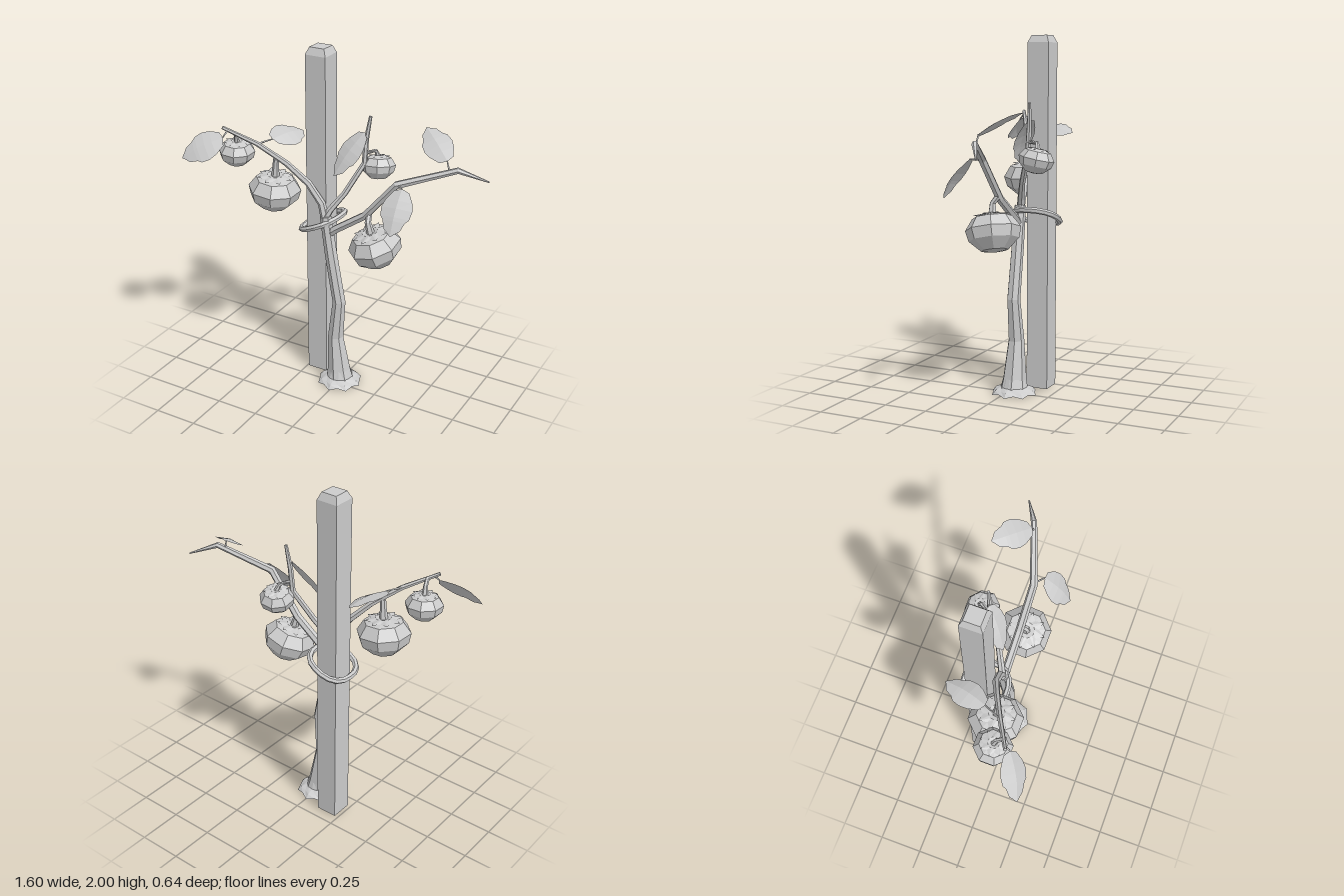
import * as THREE from 'three';

const V = (a) => new THREE.Vector3(...a);
const grey = new THREE.MeshStandardMaterial({ color: 0xcccccc, flatShading: true });
const thin = new THREE.MeshStandardMaterial({ color: 0xcccccc, flatShading: true, side: THREE.DoubleSide });

function add(parent, name, geometry, material = grey) {
  const mesh = new THREE.Mesh(geometry, material);
  mesh.name = name;
  parent.add(mesh);
  return mesh;
}

function facets(points, index) {
  const g = new THREE.BufferGeometry();
  g.setAttribute('position', new THREE.Float32BufferAttribute(points.flatMap((p) => p.toArray()), 3));
  g.setIndex(index);
  const flat = g.toNonIndexed();
  flat.computeVertexNormals();
  return flat;
}

// Tapered limb through [x, y, z, radius] stations, capped at both ends
function limb(stations, sides = 6) {
  const c = stations.map((s) => V(s.slice(0, 3)));
  const n = c.length, pts = [], idx = [];
  const ref = new THREE.Vector3(0, 0, 1);
  c.forEach((p, i) => {
    const t = c[Math.min(i + 1, n - 1)].clone().sub(c[Math.max(i - 1, 0)]).normalize();
    const u = ref.clone().addScaledVector(t, -ref.dot(t)).normalize();
    const v = t.clone().cross(u);
    for (let k = 0; k < sides; k++) {
      const a = (k / sides) * Math.PI * 2, r = stations[i][3];
      pts.push(p.clone().addScaledVector(u, r * Math.cos(a)).addScaledVector(v, r * Math.sin(a)));
    }
  });
  for (let i = 0; i < n - 1; i++) for (let k = 0; k < sides; k++) {
    const a = i * sides + k, b = i * sides + (k + 1) % sides;
    idx.push(a, b, b + sides, a, b + sides, a + sides);
  }
  const last = (n - 1) * sides;
  for (let k = 1; k < sides - 1; k++) idx.push(0, k + 1, k, last, last + k, last + k + 1);
  return facets(pts, idx);
}

// Jagged leaf from base to tip, folded along its midrib
function leaf(base, tip, normal, width) {
  const b = V(base), dir = V(tip).sub(b);
  const side = dir.clone().cross(V(normal)).normalize();
  const up = side.clone().cross(dir).normalize();
  // [position along rib, half width]
  const profile = [[0, 0.05], [0.05, 0.5], [0.25, 0.86], [0.42, 1], [0.6, 0.93], [0.68, 0.72], [0.86, 0.52], [0.92, 0.28], [1, 0.02]];
  const pts = [], idx = [];
  profile.forEach(([t, w]) => {
    for (const s of [-1, 0, 1]) {
      const arch = 0.1 * width * Math.sin(Math.PI * t) - (s ? 0.09 * width * w : 0);
      pts.push(b.clone().addScaledVector(dir, t).addScaledVector(side, s * w * width / 2).addScaledVector(up, arch));
    }
  });
  for (let i = 0; i < profile.length - 1; i++) for (const k of [0, 1]) {
    const a = i * 3 + k;
    idx.push(a, a + 1, a + 4, a, a + 4, a + 3);
  }
  return facets(pts, idx);
}

// Zigzag calyx hugging the shoulder of a unit fruit
function calyx() {
  const pts = [new THREE.Vector3(0, 0.62, 0)], idx = [], n = 16;
  for (let k = 0; k < n; k++) {
    const a = (k / n) * Math.PI * 2, out = k % 2 === 0;
    const inner = 0.3, r = out ? 0.72 : 0.48;
    pts.push(new THREE.Vector3(Math.cos(a) * inner, 0.7, Math.sin(a) * inner));
    pts.push(new THREE.Vector3(Math.cos(a) * r, out ? 0.64 : 0.63, Math.sin(a) * r));
  }
  for (let k = 0; k < n; k++) {
    const a = 1 + k * 2, b = 1 + ((k + 1) % n) * 2;
    idx.push(0, b, a, a, b, b + 1, a, b + 1, a + 1);
  }
  return facets(pts, idx);
}

// Squat eight-sided fruit with calyx and curved stem
function fruit(parent, center, radius, axis, hang) {
  const group = new THREE.Group();
  group.name = 'fruit';
  parent.add(group);
  const up = V(axis).normalize();
  const body = new THREE.Group();
  body.name = 'fruitBody';
  body.position.set(...center);
  body.quaternion.setFromUnitVectors(new THREE.Vector3(0, 1, 0), up);
  body.scale.setScalar(radius);
  group.add(body);
  const profile = [[0, -0.74], [0.5, -0.66], [0.93, -0.26], [1.03, 0.14], [0.74, 0.56], [0.28, 0.67], [0, 0.55]];
  add(body, 'flesh', new THREE.LatheGeometry(profile.map((p) => new THREE.Vector2(...p)), 8, Math.PI / 8));
  add(body, 'calyx', calyx(), thin);
  const start = V(center).addScaledVector(up, radius * 0.55);
  const mid = V(center).addScaledVector(up, radius * 1.0);
  const end = V(hang);
  mid.lerp(end, 0.25);
  add(group, 'fruitStem', limb([
    [...start.toArray(), radius * 0.17],
    [...mid.toArray(), radius * 0.12],
    [...end.toArray(), radius * 0.11],
  ]));
}

export function createModel() {
  const model = new THREE.Group();
  model.name = 'fruitTree';

  // Square support post with a chamfered top
  const post = new THREE.Group();
  post.name = 'post';
  post.position.set(-0.173, 0, -0.132);
  model.add(post);
  const s = 0.125 / Math.SQRT2;
  const profile = [[0, 0.01], [s, 0.01], [s, 1.96], [s * 0.72, 2], [0, 2]];
  add(post, 'postShaft', new THREE.LatheGeometry(profile.map((p) => new THREE.Vector2(...p)), 4, Math.PI / 4));

  // Crooked trunk and flared roots
  add(model, 'trunk', limb([
    [0, 0.02, -0.04, 0.08], [-0.007, 0.08, -0.04, 0.069], [-0.03, 0.3, -0.04, 0.046],
    [-0.005, 0.54, -0.035, 0.038], [-0.055, 0.82, -0.035, 0.036], [-0.092, 1.06, -0.035, 0.033],
  ], 7));
  const roots = new THREE.LatheGeometry([[0, 0.005], [0.125, 0.008], [0.105, 0.025], [0.075, 0.04], [0.06, 0.09]].map((p) => new THREE.Vector2(...p)), 16);
  const pos = roots.attributes.position;
  for (let i = 0; i < pos.count; i++) {
    const x = pos.getX(i), z = pos.getZ(i), r = Math.hypot(x, z);
    if (r < 0.1) continue;
    const k = 1 + 0.06 * Math.cos(8 * Math.atan2(z, x));
    pos.setXYZ(i, x * k, pos.getY(i) * (r > 0.12 ? (k > 1 ? 0.1 : 1.5) : 1), z * k);
  }
  add(model, 'rootFlare', roots).position.set(-0.003, 0, -0.04);

  // Branches
  const branches = {
    rightBranch: [[-0.09, 1.02, -0.035, 0.026], [-0.12, 1.13, -0.04, 0.022], [-0.2, 1.24, -0.03, 0.02], [-0.31, 1.355, 0.02, 0.017], [-0.45, 1.465, 0.09, 0.014], [-0.615, 1.56, 0.18, 0.01]],
    middleBranch: [[-0.1, 1.04, -0.035, 0.024], [-0.07, 1.1, -0.05, 0.02], [0, 1.2, -0.09, 0.017], [0.083, 1.37, -0.16, 0.016], [0.088, 1.51, -0.17, 0.014], [0.107, 1.64, -0.18, 0.009]],
    leftBranch: [[-0.08, 0.95, -0.035, 0.024], [-0.02, 1.0, -0.035, 0.024], [0.16, 1.125, -0.03, 0.023], [0.35, 1.35, -0.02, 0.022], [0.65, 1.455, -0.13, 0.017], [0.795, 1.39, -0.21, 0.004]],
  };
  for (const [name, stations] of Object.entries(branches)) add(model, name, limb(stations));

  // Tilted tie looping around trunk and post
  const loop = [];
  for (let i = 0; i < 14; i++) {
    const a = (i / 14) * Math.PI * 2, c = Math.cos(a), d = Math.sin(a);
    const x = -0.153 + 0.113 * Math.sign(c) * Math.abs(c) ** 0.8;
    loop.push(new THREE.Vector3(x, 0.992 + (x + 0.153) * 0.45, -0.112 + 0.125 * Math.sign(d) * Math.abs(d) ** 0.8));
  }
  add(model, 'tie', new THREE.TubeGeometry(new THREE.CatmullRomCurve3(loop, true), 18, 0.017, 6, true));

  // Fruit: centre, radius, axis, hanging point
  fruit(model, [0.23, 0.95, -0.025], 0.147, [-0.26, 1, 0.22], [0.185, 1.14, -0.03]);
  fruit(model, [-0.38, 1.18, 0.035], 0.145, [0.09, 1, 0.04], [-0.36, 1.38, 0.045]);
  fruit(model, [-0.58, 1.395, 0.1], 0.1, [0.05, 1, 0.05], [-0.56, 1.53, 0.15]);
  fruit(model, [0.133, 1.335, -0.23], 0.094, [-0.08, 1, -0.2], [0.088, 1.43, -0.167]);

  // Leaves: base, tip, normal, width, twig root
  const leaves = [
    [[-0.6, 1.51, 0.2], [-0.8, 1.39, 0.31], [0, 0.65, 0.75], 0.18, [-0.59, 1.545, 0.165]],
    [[-0.41, 1.47, -0.005], [-0.355, 1.455, -0.24], [0.4, 1, 0.05], 0.18, [-0.45, 1.465, 0.09]],
    [[0.075, 1.545, -0.165], [-0.045, 1.31, -0.045], [-0.25, 0.45, 0.85], 0.15, [0.092, 1.53, -0.17]],
    [[0.59, 1.5, -0.12], [0.395, 1.6, -0.275], [0, 0.86, 0.5], 0.16, [0.61, 1.44, -0.115]],
    [[0.405, 1.355, 0.025], [0.415, 1.145, 0.175], [0.05, 0.55, 0.8], 0.175, [0.36, 1.35, -0.02]],
  ];
  for (const [base, tip, normal, width, root] of leaves) {
    add(model, 'leaf', leaf(base, tip, normal, width), thin);
    add(model, 'leafTwig', limb([[...root, 0.006], [...base, 0.004]], 4));
  }
  return model;
}
